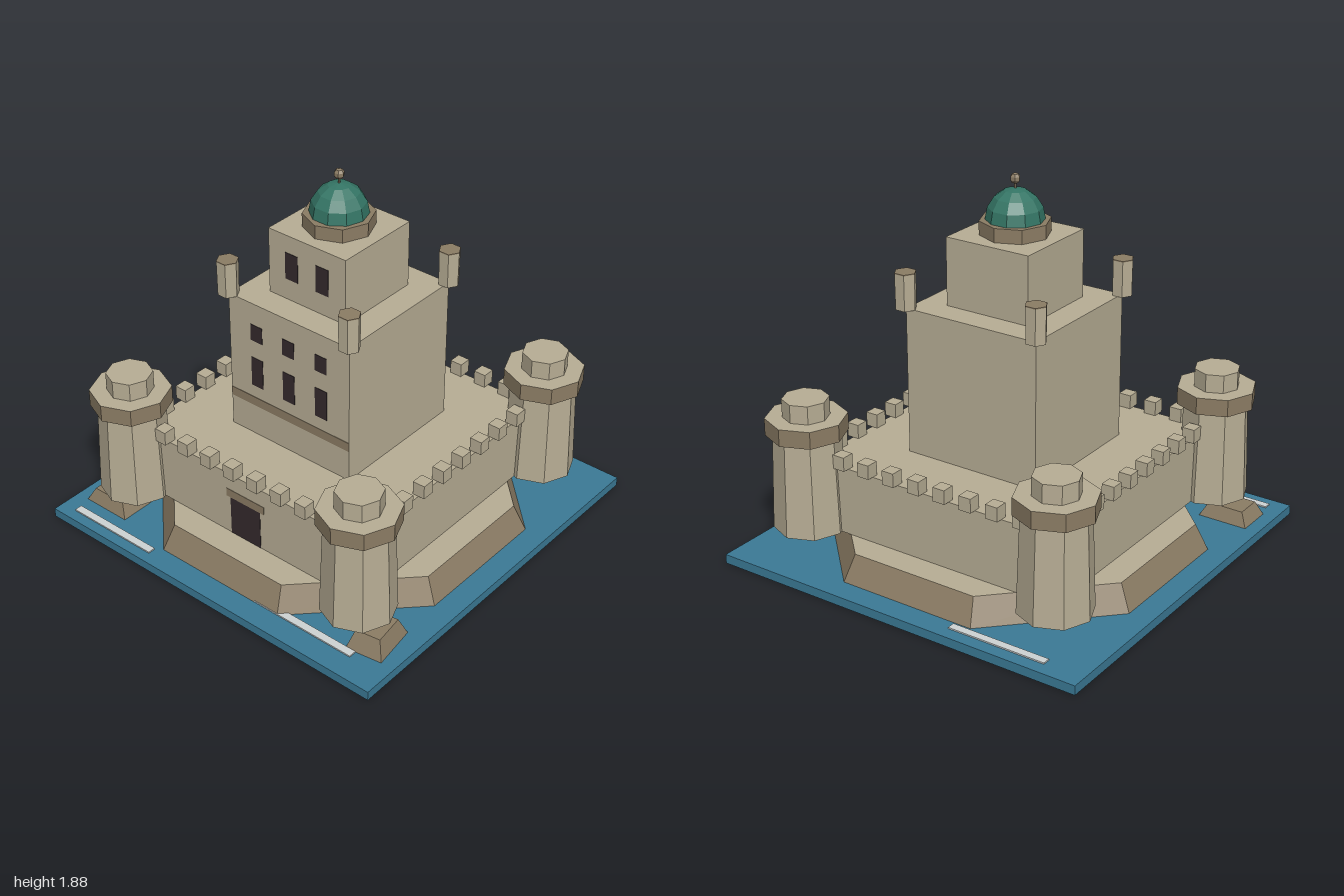
import * as THREE from 'three';

const mat = (name, color) => {
  const m = new THREE.MeshStandardMaterial({ color });
  m.name = name;
  return m;
};

export function createModel() {
  const root = new THREE.Group();
  root.name = 'seaFortress';
  const stone = mat('stone', 0xb8ae95);
  const trim = mat('brownTrim', 0x8c7d65);
  const dark = mat('darkOpening', 0x342a2d);
  const water = mat('water', 0x3b7a96);
  const copper = mat('greenCopper', 0x347565);
  const foam = mat('foam', 0xcfd4d4);

  // Faceted mesh with hard edges
  const add = (name, geo, material, x, y, z, parent = root) => {
    const g = geo.index ? geo.toNonIndexed() : geo;
    g.computeVertexNormals();
    const mesh = new THREE.Mesh(g, material);
    mesh.name = name;
    mesh.position.set(x, y, z);
    parent.add(mesh);
    return mesh;
  };
  // Box given by its centre in x, z and its bottom and top heights
  const block = (name, material, w, d, y0, y1, x = 0, z = 0, parent = root) =>
    add(name, new THREE.BoxGeometry(w, y1 - y0, d), material, x, (y0 + y1) / 2, z, parent);
  // Prism or frustum with n sides
  const prism = (name, material, n, rBottom, rTop, y0, y1, turn = 0, x = 0, z = 0, parent = root) =>
    add(name, new THREE.CylinderGeometry(rTop, rBottom, y1 - y0, n).rotateY(turn), material,
      x, (y0 + y1) / 2, z, parent);
  // Thin plate set into a wall facing the front at depth z
  const plate = (name, material, w, y0, y1, x, z) =>
    block(name, material, w, 0.004, y0, y1, x, z);

  // Sea slab and foam streaks
  const sea = 0.047;
  block('sea', water, 2, 2, 0, sea);
  block('foamFrontRight', foam, 0.51, 0.04, sea, 0.054, -0.655, 0.925);
  block('foamFrontLeft', foam, 0.575, 0.04, sea, 0.054, 0.51, 0.86);
  block('foamBack', foam, 0.515, 0.04, sea, 0.054, -0.54, -0.915);

  // Sloping octagonal plinth: brown sides, stone ledge
  const ledge = 0.176;
  const apothem = Math.cos(Math.PI / 8);
  prism('plinth', [trim, stone, trim], 8, 0.88 / apothem, 0.82 / apothem, sea, ledge, Math.PI / 8);

  // Tapered rocks at the two front corners
  const rock = (name, x, z, w, d, topScale, y1, turn) => {
    const g = new THREE.CylinderGeometry(topScale * Math.SQRT1_2, Math.SQRT1_2, y1 - sea, 4);
    g.rotateY(Math.PI / 4).scale(w, 1, d).rotateY(turn);
    add(name, g, trim, x, (sea + y1) / 2, z);
  };
  rock('rockRight', -0.8, 0.745, 0.26, 0.19, 0.72, 0.117, 0);
  rock('rockLeft', 0.82, 0.715, 0.187, 0.236, 0.68, 0.14, 0.14);

  // Curtain wall block with merlons straddling its edge
  const wall = 0.683;
  const walk = 0.521;
  block('curtainWall', stone, wall * 2, wall * 2, ledge, walk);
  const merlons = new THREE.Group();
  merlons.name = 'merlons';
  root.add(merlons);
  for (let i = 0; i < 8; i++) {
    const p = (i - 3.5) * 0.146;
    for (const s of [-1, 1]) {
      block('merlon', stone, 0.065, 0.065, walk, 0.592, p, s * wall, merlons);
      block('merlon', stone, 0.065, 0.065, walk, 0.592, s * wall, p, merlons);
    }
  }

  // Gate with lintel
  plate('gate', dark, 0.185, ledge, 0.386, 0, wall);
  plate('gateLintel', trim, 0.235, 0.386, 0.43, 0, wall);

  // Octagonal corner towers with projecting cap and turret
  for (const sx of [-1, 1]) for (const sz of [-1, 1]) {
    const tower = new THREE.Group();
    tower.name = 'cornerTower';
    tower.position.set(sx * 0.705, 0, sz * 0.705);
    root.add(tower);
    prism('towerShaft', stone, 8, 0.18, 0.163, ledge, 0.663, 0, 0, 0, tower);
    prism('towerCap', [trim, stone, trim], 8, 0.197, 0.197, 0.663, 0.75, 0, 0, 0, tower);
    prism('towerTurret', stone, 8, 0.113, 0.113, 0.75, 0.842, 0, 0, 0, tower);
  }

  // Keep in two tiers, with a band across the front
  const keep = 0.363;
  const upper = 0.228;
  block('keep', stone, keep * 2, keep * 2, walk, 1.255);
  plate('keepBand', trim, keep * 2, 0.685, 0.733, 0, keep);
  block('upperKeep', stone, upper * 2, upper * 2, 1.255, 1.592);
  for (const x of [-0.195, 0, 0.195]) {
    plate('tallWindow', dark, 0.071, 0.8, 0.958, x, keep);
    plate('smallWindow', dark, 0.071, 1.052, 1.14, x, keep);
  }
  for (const x of [-0.091, 0.091]) plate('upperWindow', dark, 0.075, 1.363, 1.502, x, upper);

  // Hexagonal corner turrets on the keep
  for (const x of [-keep, keep]) for (const z of [-keep, keep]) {
    prism('keepTurret', stone, 6, 0.052, 0.054, 1.255, 1.431, Math.PI / 2, x, z);
    prism('keepTurretTop', trim, 6, 0.054, 0.054, 1.431, 1.436, Math.PI / 2, x, z);
  }

  // Drum, dome and finial
  prism('domeDrum', trim, 8, 0.17, 0.17, 1.592, 1.66);
  const dome = new THREE.SphereGeometry(0.14, 10, 4, 0, Math.PI * 2, 0, Math.PI / 2).scale(1, 1.07, 1);
  add('dome', dome, copper, 0, 1.66, 0);
  prism('finialRod', trim, 6, 0.006, 0.006, 1.8, 1.84);
  add('finialBall', new THREE.SphereGeometry(0.026, 6, 5), trim, 0, 1.854, 0);

  return root;
}
